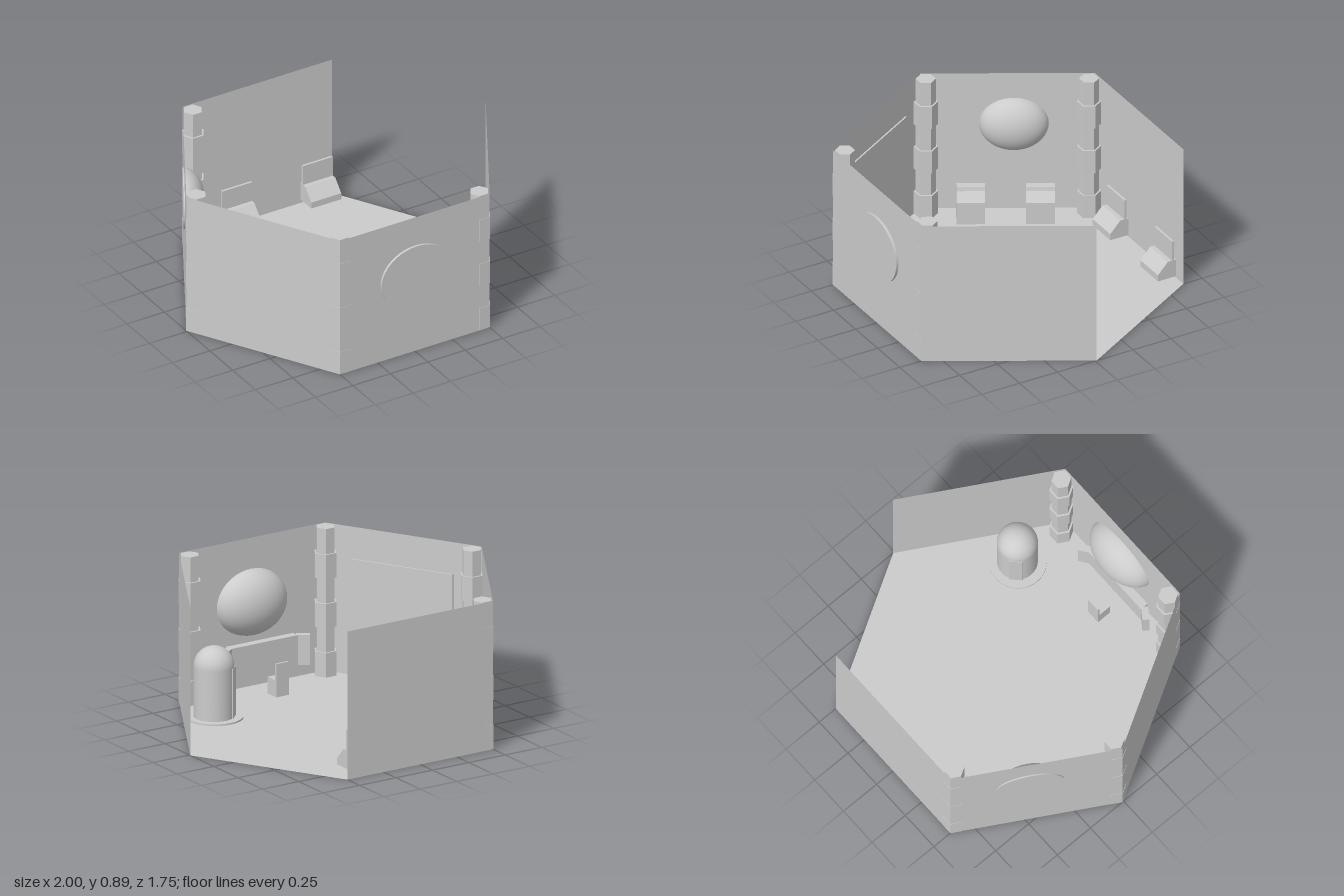
import * as THREE from 'three';

const CZ = -0.009, H = 0.89, APO = Math.sqrt(3) / 2;
const rad = THREE.MathUtils.degToRad;
const flat = new THREE.MeshStandardMaterial({ color: 0xcccccc, flatShading: true, side: THREE.DoubleSide });
const smooth = new THREE.MeshStandardMaterial({ color: 0xcccccc, side: THREE.DoubleSide });

function add(parent, name, geometry, x = 0, y = 0, z = 0, material = flat) {
  const mesh = new THREE.Mesh(geometry, material);
  mesh.name = name;
  mesh.position.set(x, y, z);
  parent.add(mesh);
  return mesh;
}

// Side profile (distance from wall, height) swept along the wall
function wedge(points, width) {
  const shape = new THREE.Shape(points.map(p => new THREE.Vector2(...p)));
  const g = new THREE.ExtrudeGeometry(shape, { depth: width, bevelEnabled: false });
  return g.translate(0, 0, -width / 2).rotateY(Math.PI / 2);
}

// Half ellipsoid bulging inward, closed by a flat disc just outside the wall
function dome(wall, x, y, rx, ry, depth, out) {
  const half = new THREE.SphereGeometry(1, 40, 16, 0, Math.PI * 2, 0, Math.PI / 2);
  add(wall, 'domeBulge', half.rotateX(-Math.PI / 2).scale(rx, ry, depth), x, y, out, smooth);
  add(wall, 'domeCap', new THREE.CircleGeometry(1, 40).scale(rx, ry, 1), x, y, out);
}

export function createModel() {
  const model = new THREE.Group();
  model.name = 'hexagonalRoom';
  const room = new THREE.Group();
  room.name = 'room';
  room.position.z = CZ;
  model.add(room);

  // Floor
  add(room, 'floor', new THREE.CircleGeometry(1, 6).rotateX(-Math.PI / 2));

  // Five walls, each with local +z pointing outward; one side stays open
  const walls = {};
  for (const a of [0, 60, 180, 240, 300]) {
    const wall = new THREE.Group();
    wall.name = 'wall' + a;
    wall.position.set(APO * Math.sin(rad(a)), 0, APO * Math.cos(rad(a)));
    wall.rotation.y = rad(a);
    add(wall, 'wallPanel', new THREE.PlaneGeometry(1, H), 0, H / 2, 0);
    room.add(wall);
    walls[a] = wall;
  }

  // Corner columns with three raised bands
  for (const a of [30, -30, -90, -150]) {
    const x = 0.932 * Math.sin(rad(a)), z = 0.932 * Math.cos(rad(a));
    const hex = (r, h) => new THREE.CylinderGeometry(r, r, h, 6).rotateY(Math.PI / 6);
    add(room, 'column', hex(0.058, H), x, H / 2, z);
    for (const y of [0.075, 0.37, 0.665]) add(room, 'columnBand', hex(0.07, 0.147), x, y, z);
  }

  // Domes in the front and rear side walls
  dome(walls[0], 0.005, 0.505, 0.236, 0.2, 0.16, 0.016);
  dome(walls[240], -0.037, 0.56, 0.2, 0.168, 0.125, 0.008);

  // Flat screen on the front side wall
  add(walls[300], 'wallScreen', new THREE.BoxGeometry(0.645, 0.5, 0.01), 0, 0.45, -0.012);

  // Freestanding desks by the rear side wall
  const desk = [[0.095, 0], [0.185, 0], [0.185, 0.14], [0.145, 0.195], [0.14, 0.22], [0.095, 0.22]];
  for (const x of [-0.188, 0.21]) add(walls[240], 'desk', wedge(desk, 0.165), x);

  // Consoles with upright screens on the back wall
  const consoleProfile = [[0.03, 0.045], [0.15, 0.045], [0.15, 0.085], [0.085, 0.155], [0.03, 0.155]];
  for (const x of [0.17, -0.37]) {
    add(walls[180], 'console', wedge(consoleProfile, 0.2), x);
    add(walls[180], 'consoleScreen', new THREE.BoxGeometry(0.2, 0.13, 0.014), x, 0.215, -0.05);
  }

  // Control station beneath the front dome, with angled wings
  add(room, 'station', new THREE.BoxGeometry(0.46, 0.18, 0.05), -0.03, 0.19, 0.805);
  for (const s of [-1, 1]) {
    const wing = add(room, 'stationWing', new THREE.BoxGeometry(0.08, 0.18, 0.04), -0.035 + s * 0.26, 0.19, 0.782);
    wing.rotation.y = s * rad(35);
  }

  // Chair
  add(room, 'chairSeat', new THREE.BoxGeometry(0.085, 0.1, 0.09), -0.04, 0.05, 0.654);
  add(room, 'chairBack', new THREE.BoxGeometry(0.085, 0.1, 0.012), -0.04, 0.15, 0.615);

  // Round-topped pod on a thin base, with a door plate facing the room centre
  const pod = new THREE.Group();
  pod.name = 'pod';
  pod.position.set(0.5, 0, 0.505);
  room.add(pod);
  add(pod, 'podBase', new THREE.CylinderGeometry(0.165, 0.165, 0.01, 40), -0.005, 0.005, 0);
  const profile = [new THREE.Vector2(0.118, 0)];
  for (let i = 0; i <= 10; i++) {
    const t = i / 10 * Math.PI / 2;
    profile.push(new THREE.Vector2(0.118 * Math.cos(t), 0.31 + 0.118 * Math.sin(t)));
  }
  add(pod, 'podBody', new THREE.LatheGeometry(profile, 32), 0, 0, 0, smooth);
  const door = add(pod, 'podDoor', new THREE.BoxGeometry(0.078, 0.3, 0.02), -0.077, 0.155, -0.077);
  door.rotation.y = rad(45);

  return model;
}
